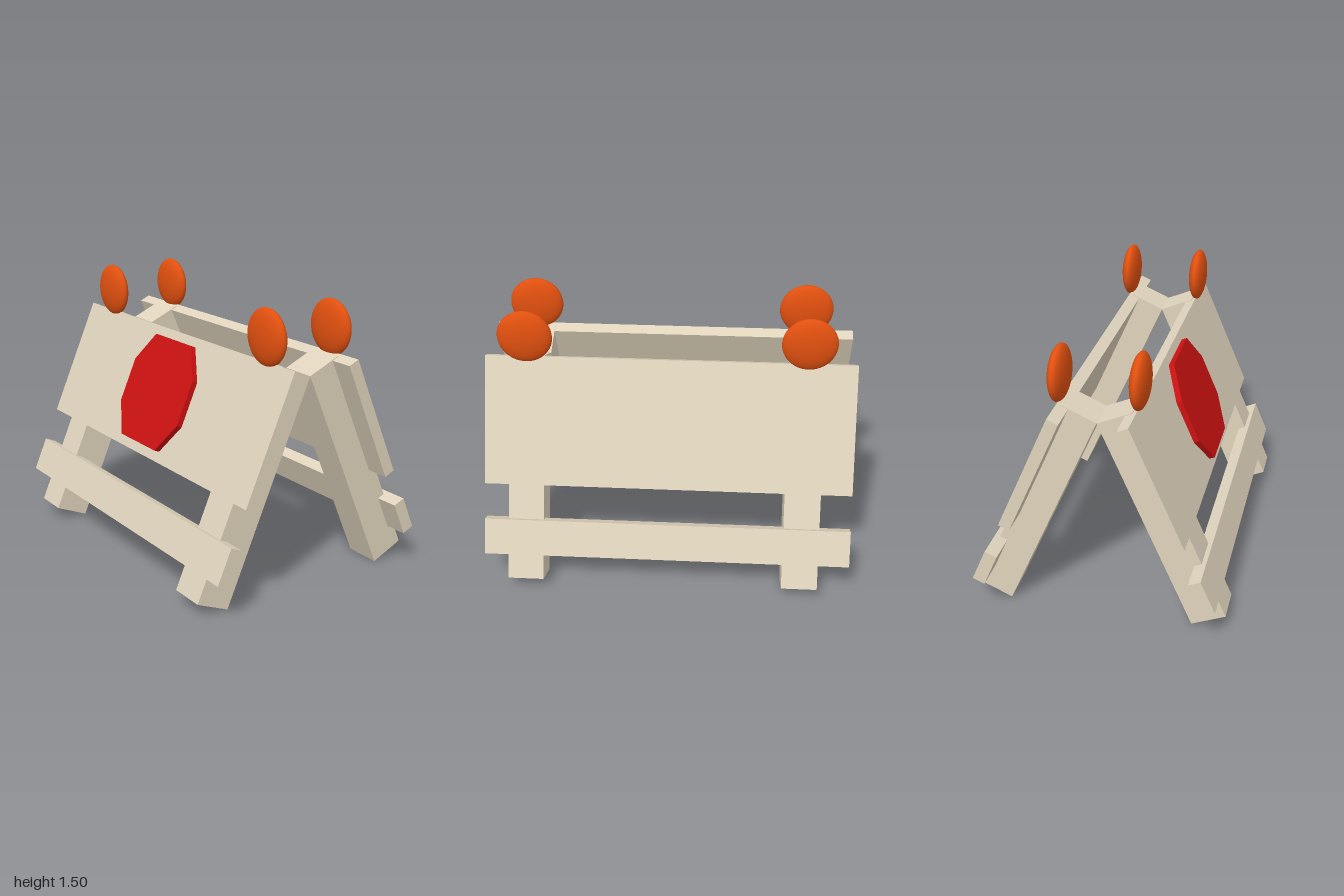
import * as THREE from 'three';

const wood = new THREE.MeshStandardMaterial({ color: 0xdfd3bc });
const orange = new THREE.MeshStandardMaterial({ color: 0xe2500f });
const red = new THREE.MeshStandardMaterial({ color: 0xcc1111 });

const TILT = 0.413;           // slope of each side from vertical
const APEX = 1.145;           // height where the two sides meet
const LEG_Z = [0.775, -0.735];

// Box between two corners in a side's own sloping frame
function plank(name, [x0, x1], [y0, y1], [z0, z1], s) {
  const mesh = new THREE.Mesh(new THREE.BoxGeometry(x1 - x0, y1 - y0, z1 - z0), wood);
  mesh.position.set(s * (x0 + x1) / 2, (y0 + y1) / 2, (z0 + z1) / 2);
  mesh.name = name;
  return mesh;
}

// One sloping side: two legs, a wide board and a low rail
function createSide(s) {
  const side = new THREE.Group();
  side.name = s > 0 ? 'leftSide' : 'rightSide';
  side.position.y = APEX;
  side.rotation.z = s * TILT;
  for (const z of LEG_Z) {
    side.add(plank('leg', [0, 0.197], [-1.245, 0], [z - 0.098, z + 0.098], s));
  }
  side.add(plank('upperBoard', [0.155, 0.218], [-0.709, -0.004], [-1, 1], s));
  side.add(plank('lowerRail', [0.155, 0.224], [-1.103, -0.906], [-1, 1], s));
  return side;
}

// Eight-sided plate lying on the right board
function createSign() {
  const shape = new THREE.Shape([
    [0.175, 0.298], [-0.175, 0.298], [-0.295, 0.125], [-0.295, -0.125],
    [-0.175, -0.298], [0.175, -0.298], [0.295, -0.125], [0.295, 0.125],
  ].map(([x, y]) => new THREE.Vector2(x, y)));
  const geometry = new THREE.ExtrudeGeometry(shape, { depth: 0.033, bevelEnabled: false });
  geometry.rotateY(-Math.PI / 2);
  const sign = new THREE.Mesh(geometry, red);
  sign.name = 'octagonSign';
  sign.position.set(-0.217, -0.353, 0);
  return sign;
}

export function createModel() {
  const model = new THREE.Group();
  model.name = 'barricade';

  const left = createSide(1);
  const right = createSide(-1);
  right.add(createSign());
  model.add(left, right);

  // Flattened warning lamps above the legs
  const lampGeometry = new THREE.SphereGeometry(0.148, 32, 20);
  for (const x of [-0.2, 0.21]) {
    for (const z of LEG_Z) {
      const lamp = new THREE.Mesh(lampGeometry, orange);
      lamp.name = 'warningLamp';
      lamp.scale.x = 0.33;
      lamp.position.set(x, 1.353, z);
      model.add(lamp);
    }
  }
  return model;
}
